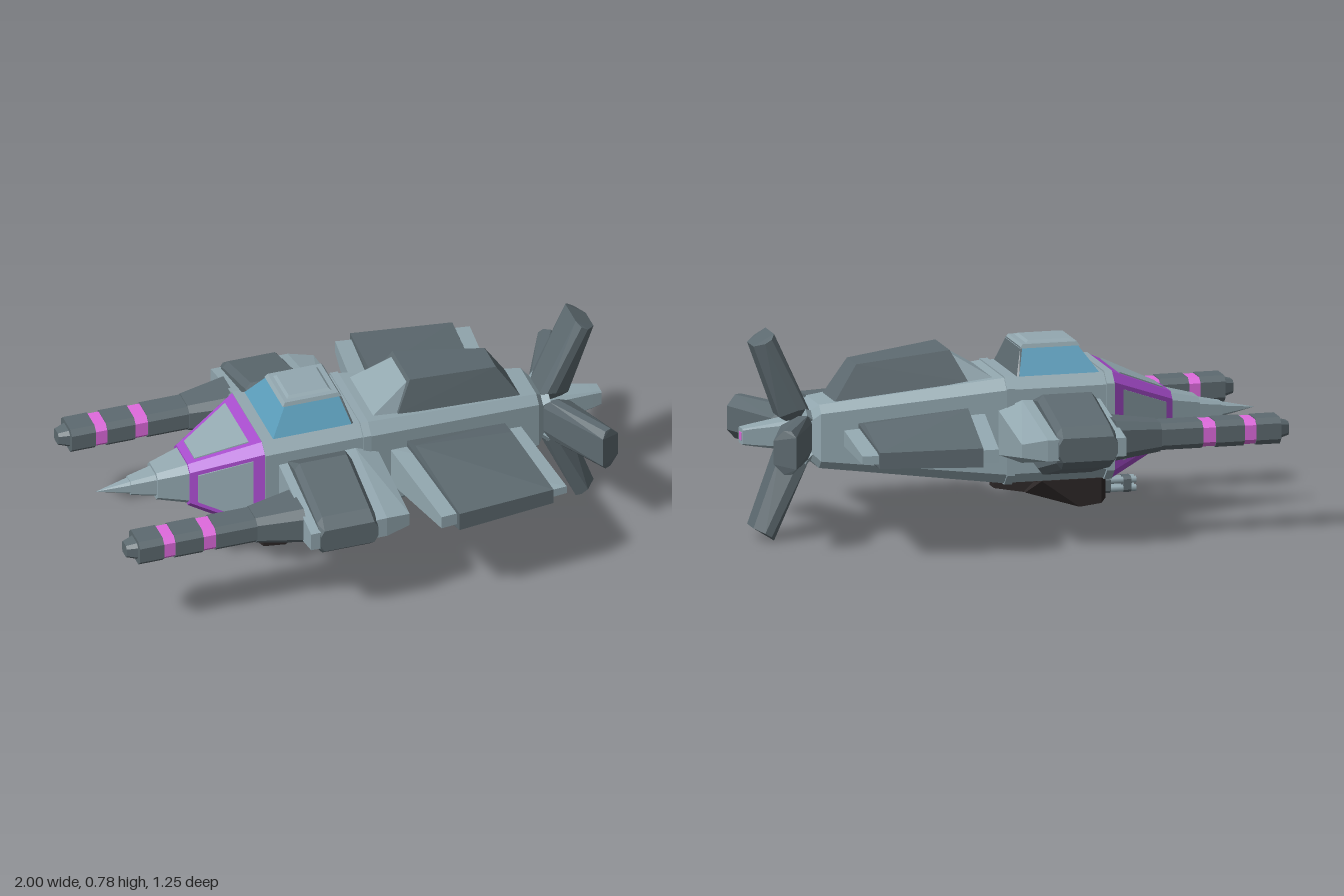
import * as THREE from 'three';
import { ConvexGeometry } from 'three/addons/geometries/ConvexGeometry.js';

const CY = 0.392; // height of the ship's long axis; the nose points to -x

const colour = (name, hex) => {
  const m = new THREE.MeshStandardMaterial({ color: hex });
  m.name = name;
  return m;
};

// Octagonal cross-section at x: half height, half width, corner cut, centre
const oct = (x, hy, hz, c, cy = CY, cz = 0) => {
  const out = [];
  for (const a of [-1, 1]) for (const b of [-1, 1]) {
    out.push([x, cy + a * hy, cz + b * (hz - c)], [x, cy + a * (hy - c), cz + b * hz]);
  }
  return out;
};
// Pair of points across the z = 0 plane
const pair = (x, y, z) => [[x, y, z], [x, y, -z]];
// Pair of points above and below the long axis
const sym = (x, h, z) => [[x, CY + h, z], [x, CY - h, z]];

export function createModel() {
  const ship = new THREE.Group();
  ship.name = 'ship';
  const light = colour('light grey', 0x93a8b0);
  const dark = colour('dark grey', 0x5d6a70);
  const purple = colour('purple', 0xa64bcb);
  const pink = colour('pink', 0xe06ade);
  const glass = colour('canopy blue', 0x5a9cba);
  const black = colour('gun black', 0x2c2727);

  // Flat-faced solid wrapped around a few points
  const solid = (name, mat, ...pts) => {
    const vs = pts.flat().map((p) => new THREE.Vector3(...p));
    const mesh = new THREE.Mesh(new ConvexGeometry(vs), mat);
    mesh.name = name;
    ship.add(mesh);
    return mesh;
  };

  // Hull: boxy front, tapering rear, rims where they meet
  solid('frontHull', light, oct(-0.37, 0.2, 0.205, 0.04), oct(0.03, 0.2, 0.205, 0.04));
  solid('rearHull', light, oct(0.03, 0.2, 0.21, 0.04), oct(0.72, 0.12, 0.12, 0.03));
  for (const x of [-0.385, 0.0]) {
    solid('hullRim', light, oct(x, 0.205, 0.213, 0.04), oct(x + 0.03, 0.205, 0.213, 0.04));
  }
  solid('rearCap', light, oct(0.72, 0.12, 0.12, 0.03), oct(0.75, 0.09, 0.09, 0.03));

  // Nose: purple frame, inset panels on four sides, pointed tip
  solid('noseFrame', purple, oct(-0.385, 0.202, 0.205, 0.035), oct(-0.64, 0.092, 0.092, 0.025));
  for (let i = 0; i < 4; i++) {
    const a = i * Math.PI / 2;
    const turn = ([x, r, s]) => [x, CY + r * Math.cos(a) - s * Math.sin(a), r * Math.sin(a) + s * Math.cos(a)];
    const pts = [];
    for (const lift of [-0.004, 0.004]) {
      for (const [x, r, s] of [[-0.425, 0.186, 0.135], [-0.612, 0.105, 0.06]]) {
        pts.push(turn([x, r + lift, s]), turn([x, r + lift, -s]));
      }
    }
    solid('nosePanel', light, pts);
  }
  solid('noseBlock', light, oct(-0.64, 0.085, 0.085, 0.025), oct(-0.755, 0.058, 0.058, 0.018));
  solid('noseCollar', light, oct(-0.75, 0.048, 0.048, 0.015), oct(-0.85, 0.03, 0.03, 0.01));
  solid('noseTip', light, oct(-0.85, 0.026, 0.026, 0.01), [[-0.98, CY, 0]]);

  // Canopy with a solid rear face and a roof hatch
  solid('canopyGlass', glass, pair(-0.34, 0.59, 0.165), pair(-0.03, 0.59, 0.165),
    pair(-0.27, 0.69, 0.1), pair(-0.06, 0.69, 0.1));
  solid('canopyRear', dark, pair(-0.03, 0.59, 0.165), pair(-0.022, 0.59, 0.16),
    pair(-0.06, 0.69, 0.1), pair(-0.052, 0.69, 0.1));
  solid('roofHatch', light, pair(-0.28, 0.685, 0.105), pair(-0.05, 0.685, 0.105),
    pair(-0.27, 0.7, 0.1), pair(-0.06, 0.7, 0.1));
  solid('roofHatchTop', light, pair(-0.255, 0.7, 0.08), pair(-0.08, 0.7, 0.08),
    pair(-0.245, 0.708, 0.07), pair(-0.09, 0.708, 0.07));

  // Spine housing behind the canopy
  solid('spineFairing', light, pair(0.06, 0.585, 0.135), pair(0.24, 0.55, 0.135), pair(0.215, 0.68, 0.085));
  solid('spineHousing', dark, pair(0.16, 0.58, 0.14), pair(0.67, 0.5, 0.09),
    pair(0.22, 0.694, 0.1), pair(0.57, 0.652, 0.065));

  for (const s of [1, -1]) {
    // Front wing: light core with a thick dark panel
    solid('frontWingCore', light, sym(-0.33, 0.11, s * 0.2), sym(-0.03, 0.12, s * 0.2), sym(0.06, 0.085, s * 0.2),
      sym(-0.33, 0.035, s * 0.575), sym(-0.03, 0.04, s * 0.57), sym(0.065, 0.025, s * 0.55));
    for (const [z, h, ex] of [[0.2, 0.115, 0], [0.28, 0.152, 0.02], [0.54, 0.08, 0.02], [0.585, 0.045, 0.015]]) {
      ship.userData[z] = [...sym(-0.295 + ex, h, s * z), ...sym(-0.07 - ex, h, s * z),
        ...sym(-0.295, h - 0.025, s * z), ...sym(-0.07, h - 0.025, s * z)];
    }
    solid('frontWingPanel', dark, ...Object.values(ship.userData));
    ship.userData = {};

    // Rear wing: wedge, thick in front and thin behind, slightly turned
    solid('rearWingCore', light, sym(0.11, 0.075, s * 0.19), sym(0.64, 0.03, s * 0.15),
      sym(0.17, 0.025, s * 0.61), sym(0.68, 0.015, s * 0.555));
    solid('rearWingPanel', dark, sym(0.175, 0.09, s * 0.17), sym(0.58, 0.05, s * 0.13),
      sym(0.19, 0.11, s * 0.25), sym(0.58, 0.065, s * 0.22),
      sym(0.235, 0.036, s * 0.627), sym(0.62, 0.03, s * 0.58));

    // Cannon: flared root, barrel with two bright bands, narrow muzzle
    const z = s * 0.39;
    const part = (name, mat, x0, hy0, hz0, x1, hy1, hz1) =>
      solid(name, mat, oct(x0, hy0, hz0, hy0 * 0.4, CY, z), oct(x1, hy1, hz1, hy1 * 0.4, CY, z));
    part('cannonRoot', dark, -0.32, 0.075, 0.1, -0.5, 0.055, 0.065);
    for (const [x0, x1] of [[-0.5, -0.66], [-0.71, -0.82], [-0.865, -0.96]]) {
      part('cannonBarrel', dark, x0, 0.05, 0.064, x1, 0.05, 0.064);
    }
    for (const [x0, x1] of [[-0.66, -0.71], [-0.82, -0.865]]) {
      part('cannonBand', pink, x0, 0.046, 0.06, x1, 0.046, 0.06);
    }
    part('cannonMuzzle', dark, -0.96, 0.035, 0.042, -1, 0.025, 0.028);
  }

  // Four swept tail fins, wider at the leading edge
  for (let i = 0; i < 4; i++) {
    const reach = i % 2 ? 0.95 : 1;
    const pts = [];
    for (const [x, r, w] of [[0.745, 0.09, 0.05], [0.765, 0.105, 0.083], [0.8, 0.1, 0.083], [0.86, 0.07, 0.045],
      [0.885, 0.392, 0.06], [0.9, 0.375, 0.083], [0.925, 0.36, 0.083], [0.96, 0.345, 0.045], [0.79, 0.03, 0.03]]) {
      pts.push([x, r * reach, w], [x, r * reach, -w]);
    }
    const fin = solid('tailFin', dark, pts);
    fin.rotation.x = i * Math.PI / 2;
    fin.position.y = CY;
    // Small light root bracket between the fins
    const bracket = solid('finBracket', light, pair(0.73, 0.1, 0.025), pair(0.77, 0.135, 0.015), pair(0.8, 0.03, 0.025));
    bracket.rotation.x = (i + 0.5) * Math.PI / 2;
    bracket.position.y = CY;
  }
  solid('tailBoom', light, oct(0.73, 0.07, 0.07, 0.02), oct(0.96, 0.036, 0.036, 0.006), oct(0.997, 0.03, 0.03, 0.005));
  solid('tailLight', pink, oct(0.99, 0.015, 0.015, 0.002), oct(1, 0.015, 0.015, 0.002));

  // Belly gun: mount, housing, tail arm and a barrel cluster
  solid('gunMount', black, pair(-0.36, 0.2, 0.08), pair(-0.12, 0.2, 0.08), pair(-0.36, 0.16, 0.1), pair(-0.12, 0.16, 0.1));
  solid('gunHousing', black, pair(-0.38, 0.175, 0.1), pair(-0.38, 0.1, 0.1), pair(-0.36, 0.085, 0.118),
    pair(-0.275, 0.075, 0.118), pair(-0.36, 0.18, 0.118), pair(-0.13, 0.18, 0.118), pair(-0.08, 0.13, 0.07));
  solid('gunArm', black, pair(-0.2, 0.18, 0.07), pair(-0.2, 0.11, 0.07), pair(0.03, 0.167, 0.03), pair(0.03, 0.145, 0.03));
  for (let i = 0; i < 4; i++) {
    const a = (i + 0.5) * Math.PI / 2;
    const g = new THREE.CylinderGeometry(0.013, 0.013, 0.15, 8).rotateZ(Math.PI / 2);
    const barrel = new THREE.Mesh(g, light);
    barrel.name = 'gunBarrel';
    barrel.position.set(-0.445, 0.13 + 0.022 * Math.sin(a), 0.022 * Math.cos(a));
    ship.add(barrel);
  }
  for (const x of [-0.5, -0.42]) {
    solid('barrelClamp', dark, oct(x, 0.03, 0.03, 0.01, 0.13), oct(x + 0.03, 0.03, 0.03, 0.01, 0.13));
  }
  return ship;
}
